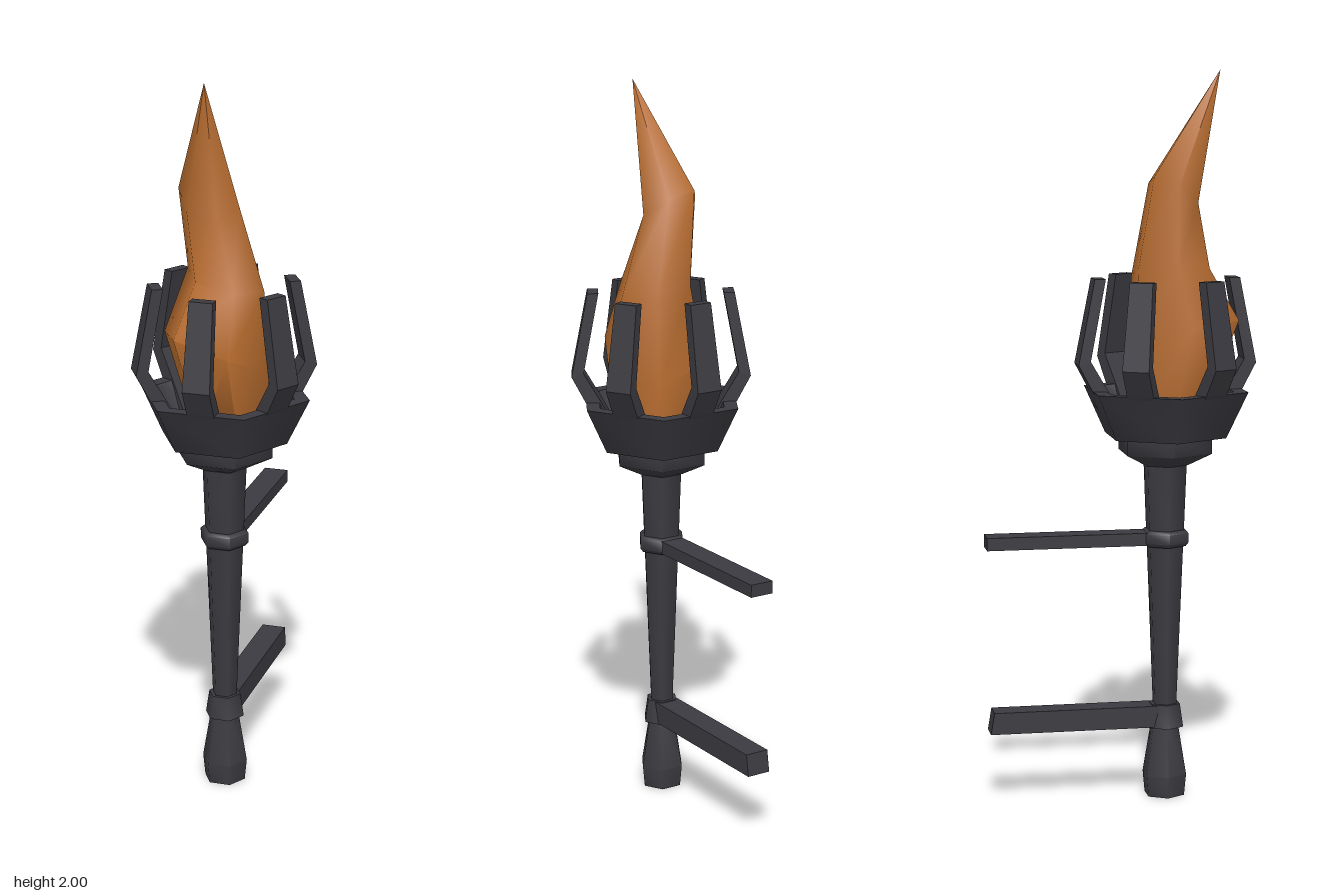
import * as THREE from 'three';
import { toCreasedNormals } from 'three/addons/utils/BufferGeometryUtils.js';

const AXIS_Z = 0.127; // the torch stands forward of its wall bars

export function createModel() {
  const model = new THREE.Group();
  model.name = 'wallTorch';
  const iron = new THREE.MeshStandardMaterial({ color: 0x3a3a40 });
  iron.name = 'darkIron';
  const fire = new THREE.MeshStandardMaterial({ color: 0xb96d2f });
  fire.name = 'flameOrange';

  const add = (name, geometry, material, z = AXIS_Z) => {
    const mesh = new THREE.Mesh(geometry, material);
    mesh.name = name;
    mesh.position.z = z;
    model.add(mesh);
    return mesh;
  };

  // Six-sided turned part from [radius, height] pairs, corners on the x axis
  const turned = (name, profile) => {
    const points = profile.map(([r, y]) => new THREE.Vector2(r, y));
    const lathe = new THREE.LatheGeometry(points, 6, Math.PI / 6);
    add(name, toCreasedNormals(lathe, 1.06), iron);
  };

  turned('pommel', [[0, 0], [0.058, 0], [0.064, 0.06], [0.04, 0.2], [0, 0.2]]);
  turned('lowerCollar', [[0, 0.195], [0.055, 0.195], [0.045, 0.26], [0, 0.26]]);
  turned('shaft', [[0.033, 0.2], [0.035, 0.27], [0.053, 0.71], [0.055, 0.75], [0.063, 0.95]]);
  turned('upperCollar', [[0, 0.705], [0.06, 0.705], [0.068, 0.715], [0.068, 0.742], [0.06, 0.75], [0, 0.75]]);
  turned('neck', [[0, 0.93], [0.065, 0.93], [0.135, 0.965], [0.135, 1.015]]);
  turned('bowl', [[0, 1.01], [0.175, 1.01], [0.237, 1.138], [0.195, 1.138], [0.155, 1.05], [0, 1.03]]);

  // Wall bars, drawn as side profiles in (z, y) and extruded across x
  const bar = (name, corners) => {
    const shape = new THREE.Shape(corners.map(([z, y]) => new THREE.Vector2(-z, y)));
    const geometry = new THREE.ExtrudeGeometry(shape, { depth: 0.068, bevelEnabled: false });
    geometry.translate(0, 0, -0.034).rotateY(Math.PI / 2);
    add(name, geometry, iron, 0);
  };
  bar('upperWallBar', [[0.12, 0.71], [-0.37, 0.71], [-0.37, 0.745], [0.12, 0.745]]);
  bar('lowerWallBar', [[0.12, 0.198], [-0.363, 0.198], [-0.353, 0.258], [0.12, 0.258]]);

  // Bent prongs around the bowl, slightly narrower at the top
  const prongShape = new THREE.Shape([
    [0.11, 1.04], [0.148, 1.04], [0.208, 1.14], [0.245, 1.21],
    [0.2, 1.442], [0.17, 1.442], [0.212, 1.22], [0.165, 1.14],
  ].map(([r, y]) => new THREE.Vector2(r, y)));
  const prong = new THREE.ExtrudeGeometry(prongShape, { depth: 0.075, bevelEnabled: false });
  prong.translate(0, 0, -0.0375);
  const p = prong.attributes.position;
  for (let i = 0; i < p.count; i++) {
    p.setZ(i, p.getZ(i) * (1 - 0.6 * Math.max(0, p.getY(i) - 1.21)));
  }
  prong.computeVertexNormals();
  for (let i = 0; i < 6; i++) {
    add('prong' + (i + 1), prong, iron).rotation.y = Math.PI / 6 + i * Math.PI / 3;
  }

  // Flame rings: centre x, y, z, half width, half depth, slope along x and z
  const rings = [
    [0.013, 1.045, 0.13, 0.1, 0.08, 0, 0],
    [-0.006, 1.265, 0.172, 0.145, 0.142, -0.3, 0.3],
    [0.01, 1.455, 0.142, 0.105, 0.098, -0.24, 0],
    [-0.037, 1.672, 0.14, 0.083, 0.06, -0.24, -0.58],
  ];
  const vertices = [];
  const index = [];
  for (const [cx, cy, cz, rx, rz, sx, sz] of rings) {
    for (let i = 0; i < 6; i++) {
      const a = i * Math.PI / 3;
      const dx = rx * Math.cos(a);
      const dz = rz * Math.sin(a) / Math.sin(Math.PI / 3);
      vertices.push(cx + dx, cy + dx * sx + dz * sz, cz + dz);
    }
  }
  const tip = vertices.length / 3;
  vertices.push(-0.005, 2, 0.275, 0.013, 1.045, 0.13);
  const last = (rings.length - 1) * 6;
  for (let i = 0; i < 6; i++) {
    const j = (i + 1) % 6;
    for (let k = 0; k < last; k += 6) {
      index.push(k + i, k + 6 + i, k + j, k + j, k + 6 + i, k + 6 + j);
    }
    index.push(last + i, tip, last + j, i, j, tip + 1);
  }
  const flame = new THREE.BufferGeometry();
  flame.setAttribute('position', new THREE.Float32BufferAttribute(vertices, 3));
  flame.setIndex(index);
  flame.computeVertexNormals();
  add('flame', toCreasedNormals(flame, 1.2), fire, 0);

  return model;
}
